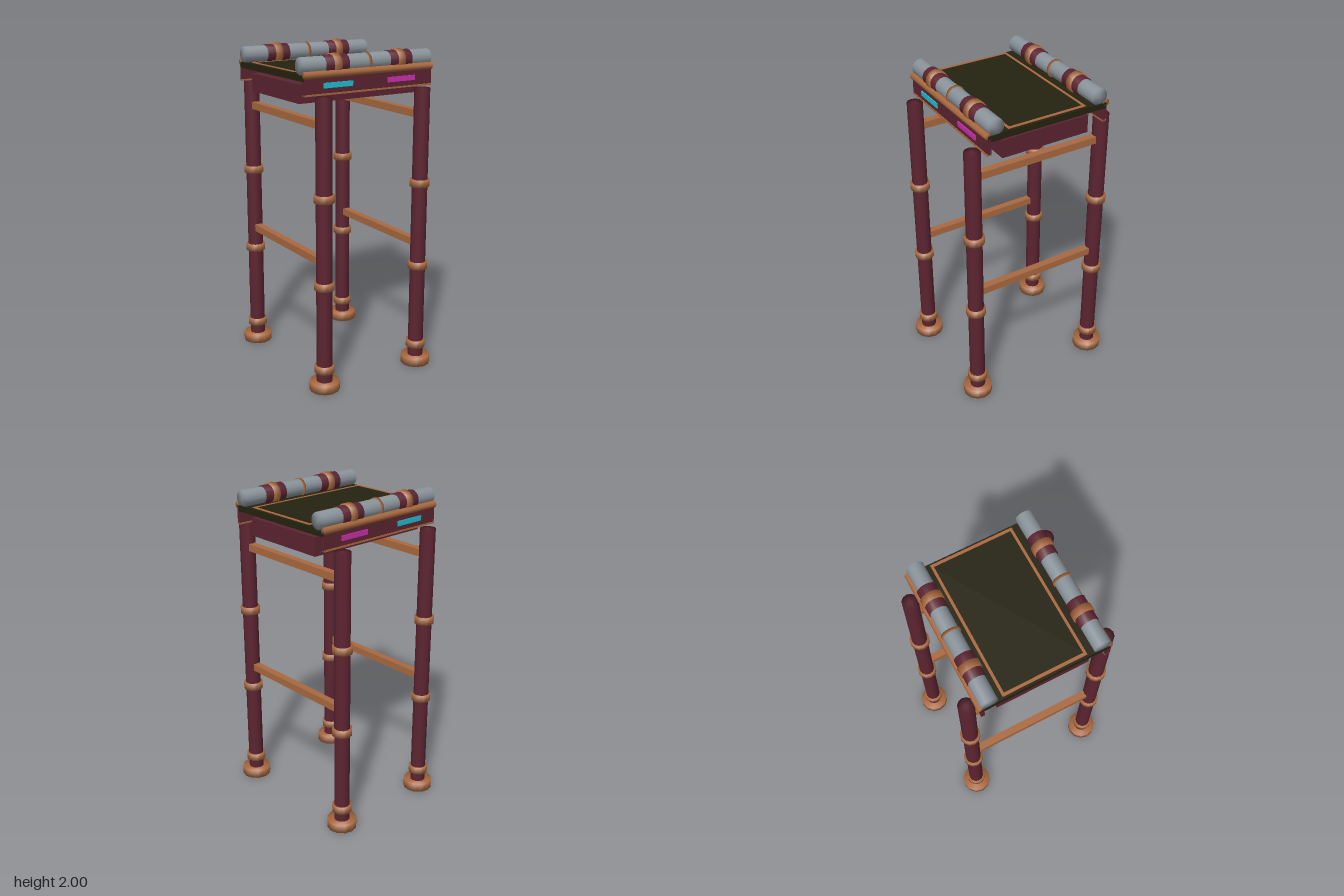
import * as THREE from 'three';
import { mergeVertices } from 'three/addons/utils/BufferGeometryUtils.js';

const paint = (name, color) => {
  const m = new THREE.MeshStandardMaterial({ color });
  m.name = name;
  return m;
};

export function createModel() {
  const maroon = paint('maroon', 0x5c2431);
  const copper = paint('copper', 0xa9693f);
  const steel = paint('steel grey', 0x8a939b);
  const olive = paint('dark olive', 0x24220f);
  const cyan = paint('cyan', 0x1fbfd0);
  const magenta = paint('magenta', 0xcc2fae);

  const model = new THREE.Group();
  model.name = 'table';

  const add = (parent, name, geometry, material, x, y, z) => {
    const mesh = new THREE.Mesh(geometry, material);
    mesh.name = name;
    mesh.position.set(x, y, z);
    parent.add(mesh);
    return mesh;
  };
  const box = (parent, name, material, w, h, d, x, y, z) =>
    add(parent, name, new THREE.BoxGeometry(w, h, d), material, x, y, z);

  // Cylinder whose caps and side share soft normals
  const softCylinder = (r, h, sides) => {
    const g = new THREE.CylinderGeometry(r, r, h, sides);
    g.deleteAttribute('normal');
    g.deleteAttribute('uv');
    const soft = mergeVertices(g, 1e-4);
    soft.computeVertexNormals();
    return soft;
  };
  const upright = (parent, name, material, r, h, y) =>
    add(parent, name, softCylinder(r, h, 12), material, 0, y, 0);
  const lying = (parent, name, material, r, length, x, y, z, sides = 16) =>
    add(parent, name, softCylinder(r, length, sides).rotateZ(Math.PI / 2), material, x, y, z);

  // Legs with feet and three collars
  for (const sx of [-1, 1]) {
    for (const sz of [-1, 1]) {
      const leg = new THREE.Group();
      leg.name = 'leg';
      leg.position.set(sx * 0.343, 0, sz * 0.43);
      model.add(leg);
      upright(leg, 'legPost', maroon, 0.048, 1.74, 0.9);
      upright(leg, 'foot', copper, 0.092, 0.055, 0.0275);
      for (const y of [0.135, 0.664, 1.193]) upright(leg, 'legCollar', copper, 0.061, 0.045, y);
    }
    // Side stretchers
    for (const y of [0.805, 1.612]) {
      box(model, 'stretcher', copper, 0.045, 0.045, 0.78, sx * 0.343, y, 0);
    }
  }

  // Under box and table top
  box(model, 'underBox', maroon, 0.83, 0.11, 0.565, 0, 1.775, 0);
  box(model, 'tableTop', olive, 0.88, 0.038, 0.77, 0, 1.874, 0);
  box(model, 'topInset', olive, 0.855, 0.005, 0.505, 0, 1.8955, 0);

  // Thin inlaid frame
  for (const s of [-1, 1]) {
    box(model, 'inlayLong', copper, 0.856, 0.004, 0.016, 0, 1.898, s * 0.245);
    box(model, 'inlayShort', copper, 0.018, 0.004, 0.474, s * 0.419, 1.898, 0);
  }

  // Front and back edges: apron, rails, coloured plates and rollers
  for (const s of [-1, 1]) {
    const edge = new THREE.Group();
    edge.name = s > 0 ? 'frontEdge' : 'backEdge';
    model.add(edge);
    box(edge, 'apron', maroon, 0.88, 0.1, 0.022, 0, 1.828, s * 0.377);
    box(edge, 'apronTrim', copper, 0.88, 0.01, 0.028, 0, 1.78, s * 0.378);
    lying(edge, 'topRail', copper, 0.021, 0.88, 0, 1.891, s * 0.383, 10);
    box(edge, 'cyanPlate', cyan, 0.195, 0.03, 0.008, -0.222, 1.829, s * 0.391);
    box(edge, 'magentaPlate', magenta, 0.195, 0.03, 0.008, 0.217, 1.829, s * 0.391);

    const y = 1.937, z = s * 0.336;
    for (const x of [-0.22, 0.22]) {
      lying(edge, 'roller', steel, 0.051, 0.44, x, y, z);
      lying(edge, 'rollerSleeve', maroon, 0.056, 0.152, x, y, z);
      lying(edge, 'rollerBand', copper, 0.063, 0.046, x, y, z);
    }
    lying(edge, 'rollerRing', copper, 0.057, 0.015, 0, y, z);
  }
  return model;
}
